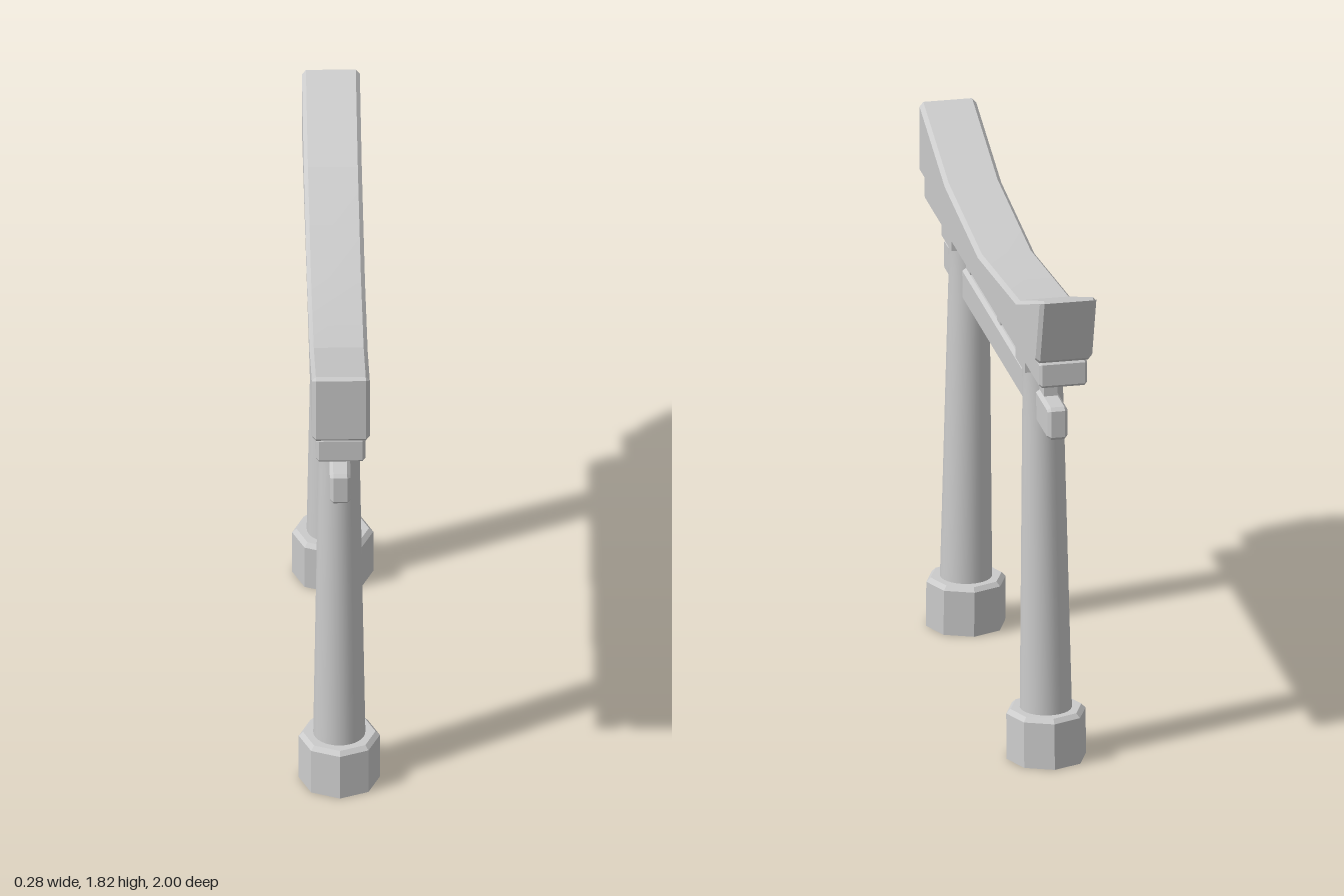
import * as THREE from 'three';
import { toCreasedNormals } from 'three/addons/utils/BufferGeometryUtils.js';

const material = new THREE.MeshStandardMaterial({ color: 0xcccccc });
const hollow = new THREE.MeshStandardMaterial({ color: 0xcccccc, side: THREE.DoubleSide });
const MID = 0.035; // the gate's centre line lies slightly forward of the roof's

// Cuts the sharp corners of a counter-clockwise outline, leaving gentle bends alone.
function chamfer(points, cut) {
  const p = points.map(([a, b]) => new THREE.Vector2(a, b));
  return p.flatMap((v, i) => {
    const before = p[(i + p.length - 1) % p.length].clone().sub(v).normalize();
    const after = p[(i + 1) % p.length].clone().sub(v).normalize();
    if (before.dot(after) < -0.7) return [v];
    return [v.clone().addScaledVector(before, cut), v.clone().addScaledVector(after, cut)];
  });
}

// Side profile [z, y] given a thickness along x, with bevelled edges.
function beam(name, profile, width, bevel) {
  const outline = bevel ? chamfer(profile, bevel) : profile.map(([a, b]) => new THREE.Vector2(a, b));
  const geo = new THREE.ExtrudeGeometry(new THREE.Shape(outline), {
    depth: width - 2 * bevel, bevelEnabled: bevel > 0, bevelSegments: 1,
    bevelThickness: bevel, bevelSize: bevel, bevelOffset: -bevel,
  });
  geo.translate(0, 0, bevel - width / 2);
  geo.rotateY(-Math.PI / 2);
  const mesh = new THREE.Mesh(toCreasedNormals(geo, 0.217), material);
  mesh.name = name;
  return mesh;
}

const rect = (z0, z1, y0, y1) => [[z0, y0], [z1, y0], [z1, y1], [z0, y1]];

// Turned part that leans inwards with height while its foot stays level.
function leaning(name, profile, segments, side, flat) {
  let geo = new THREE.LatheGeometry(profile.map(([r, y]) => new THREE.Vector2(r, y)), segments);
  const pos = geo.attributes.position;
  for (let i = 0; i < pos.count; i++) {
    const y = pos.getY(i);
    const squeeze = !flat && y > 1.3 ? 0.9 : 1; // narrows beside the tie beam
    pos.setZ(i, pos.getZ(i) * squeeze + MID + side * (0.66 - 0.043 * y));
  }
  if (flat) {
    geo = geo.toNonIndexed();
    geo.computeVertexNormals();
  }
  const mesh = new THREE.Mesh(geo, hollow);
  mesh.name = name;
  return mesh;
}

export function createModel() {
  const gate = new THREE.Group();
  gate.name = 'gate';

  // Curved roof beam with one raked end, and the straight lintel under it
  gate.add(beam('roofBeam', [
    [-0.92, 1.56], [1, 1.56], [1, 1.825], [0.57, 1.675],
    [0.03, 1.615], [-0.59, 1.675], [-1, 1.825],
  ], 0.2, 0.014));
  gate.add(beam('lintel', rect(-0.91, 0.98, 1.465, 1.562), 0.17, 0.01));

  // Tie beam and the short strut above its middle
  gate.add(beam('tieBeam', rect(-0.82, 0.89, 1.235, 1.355), 0.072, 0.012));
  gate.add(beam('strut', rect(MID - 0.027, MID + 0.027, 1.35, 1.47), 0.05, 0));

  for (const side of [1, -1]) {
    const post = new THREE.Group();
    post.name = side > 0 ? 'frontPost' : 'backPost';

    // Octagonal foot, hollow tapered column, square cap
    post.add(leaning('foot', [
      [0.088, 0], [0.14, 0], [0.14, 0.165], [0.125, 0.18], [0.08, 0.18],
    ], 8, side, true));
    post.add(leaning('column', [
      [0.092, 0], [0.09, 0.18], [0.072, 1.24], [0.07, 1.35], [0.072, 1.43],
    ], 32, side, false));
    const capZ = MID + side * 0.603;
    post.add(beam('cap', rect(capZ - 0.08, capZ + 0.08, 1.428, 1.468), 0.16, 0));

    // Wedges driven in on both sides of the column
    for (const way of [1, -1]) {
      const outer = capZ + way * 0.13, inner = capZ + way * 0.04;
      const profile = [[inner, 1.35], [outer, 1.35], [outer, 1.402], [inner, 1.365]];
      post.add(beam('wedge', way > 0 ? profile : profile.reverse(), 0.048, 0));
    }
    gate.add(post);
  }
  return gate;
}
